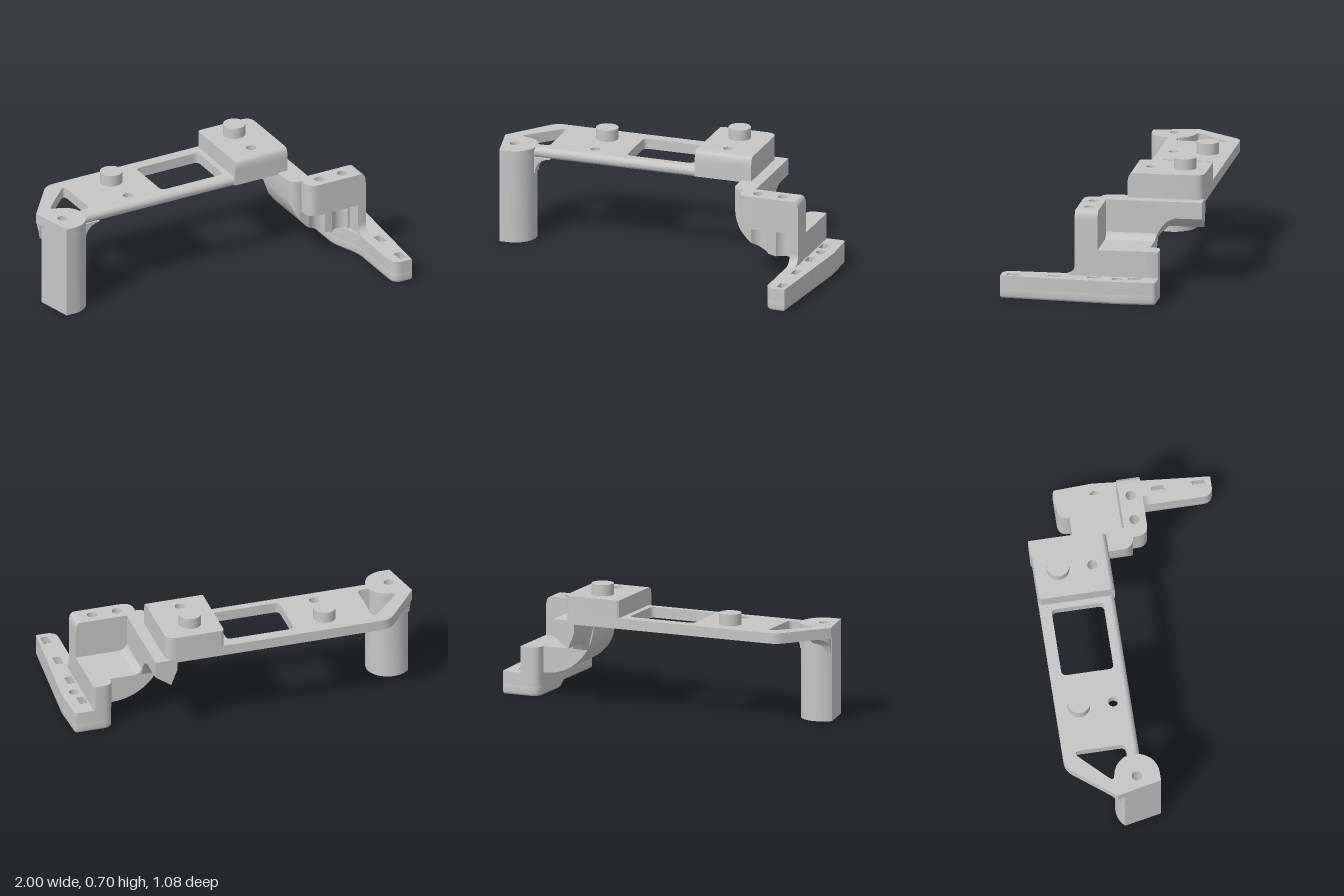
import * as THREE from 'three';
import { toCreasedNormals } from 'three/addons/utils/BufferGeometryUtils.js';

const grey = new THREE.MeshStandardMaterial({ color: 0xc6c6c6 });
grey.name = 'grey plastic';

// Closed outline from [x, y, cornerRadius] points
function outline(pts, Type = THREE.Shape) {
  const s = new Type();
  const n = pts.length;
  pts.forEach(([x, y, r = 0], i) => {
    const p = new THREE.Vector2(x, y);
    const step = (q) => {
      const d = new THREE.Vector2(q[0], q[1]).sub(p);
      return p.clone().add(d.setLength(Math.min(r, d.length() / 2)));
    };
    const a = r ? step(pts[(i + n - 1) % n]) : p;
    if (i === 0) s.moveTo(a.x, a.y); else s.lineTo(a.x, a.y);
    if (r) {
      const b = step(pts[(i + 1) % n]);
      s.quadraticCurveTo(x, y, b.x, b.y);
    }
  });
  s.closePath();
  return s;
}

const arc = (cx, cy, r, a0, a1, n = 8) => Array.from({ length: n + 1 }, (_, i) => {
  const a = (a0 + (a1 - a0) * i / n) * Math.PI / 180;
  return [cx + r * Math.cos(a), cy + r * Math.sin(a)];
});
const round = (x, z, r = 0.028) => arc(x, z, r, 0, 345, 23);
const rect = (x0, x1, z0, z1, r) => [[x0, z0, r], [x1, z0, r], [x1, z1, r], [x0, z1, r]];
const flip = (pts) => pts.map(([x, z, r]) => [x, -z, r]);

// Sections joined into a solid; rings run counter-clockwise about the axis
function loft(rings) {
  const pos = [];
  const n = rings[0].length;
  const tri = (...v) => v.forEach((p) => pos.push(...p));
  for (let k = 0; k + 1 < rings.length; k++) {
    const a = rings[k], b = rings[k + 1];
    for (let i = 0; i < n; i++) {
      const j = (i + 1) % n;
      tri(a[i], a[j], b[j]);
      tri(a[i], b[j], b[i]);
    }
  }
  const first = rings[0], last = rings[rings.length - 1];
  for (let i = 1; i + 1 < n; i++) {
    tri(first[0], first[i + 1], first[i]);
    tri(last[0], last[i], last[i + 1]);
  }
  const g = new THREE.BufferGeometry();
  g.setAttribute('position', new THREE.Float32BufferAttribute(pos, 3));
  return g;
}

export function createModel() {
  const model = new THREE.Group();
  model.name = 'mountingBracket';
  const add = (name, g) => {
    const m = new THREE.Mesh(toCreasedNormals(g, 0.6), grey);
    m.name = name;
    model.add(m);
  };
  // Plan (x, z) outline raised from y0 to y1; holes wind against the outline
  const plan = (name, pts, y0, y1, holes = [], bevel = 0) => {
    const s = outline(flip(pts));
    s.holes = holes.map((h) => outline(flip(h).reverse(), THREE.Path));
    const g = new THREE.ExtrudeGeometry(s, {
      depth: y1 - y0 - 2 * bevel, curveSegments: 8, bevelEnabled: bevel > 0,
      bevelSize: bevel, bevelThickness: bevel, bevelOffset: -bevel, bevelSegments: 3,
    });
    add(name, g.rotateX(-Math.PI / 2).translate(0, y0 + bevel, 0));
  };
  // Front (x, y) outline extruded from z0 to z1
  const front = (name, pts, z0, z1) => add(name, new THREE.ExtrudeGeometry(outline(pts),
    { depth: z1 - z0, bevelEnabled: false, curveSegments: 8 }).translate(0, 0, z0));
  // Side (z, y) outline extruded from x0 to x1
  const side = (name, pts, x0, x1) => add(name, new THREE.ExtrudeGeometry(outline(pts),
    { depth: x1 - x0, bevelEnabled: false, curveSegments: 8 }).rotateY(-Math.PI / 2).translate(x1, 0, 0));

  // Long top plate with its windows and screw holes
  const postHole = round(-0.9, -0.15);
  plan('topPlate', [
    [-1, -0.27], [-0.79, -0.54, 0.05], [0.51, -0.54, 0.05], [0.51, -0.145], [-0.77, -0.145],
    ...arc(-0.895, -0.145, 0.125, 5, 90), [-0.945, -0.02],
  ], 0.48, 0.54, [
    rect(-0.25, 0.145, -0.475, -0.18, 0.03),
    [[-0.705, -0.49, 0.055], [-0.705, -0.185, 0.03], [-0.775, -0.185],
      ...arc(-0.895, -0.145, 0.13, -25, -75), [-0.91, -0.282, 0.035]],
    round(-0.445, -0.215), round(0.34, -0.215), postHole,
  ]);
  add('plateFrontEdge', new THREE.CylinderGeometry(0.03, 0.03, 1.3, 20)
    .rotateZ(Math.PI / 2).translate(-0.14, 0.51, -0.145));

  // Support post, round with one flat side, and its fillets under the plate
  plan('post', [[-0.945, -0.02], ...arc(-0.895, -0.145, 0.125, 90, -138, 22)], 0, 0.482, [postHole]);
  front('postFillet', [[-0.79, 0.485], [-0.79, 0.39], ...arc(-0.68, 0.39, 0.09, 180, 90), [-0.68, 0.485]],
    -0.184, -0.117);
  add('strutFillet', loft(Array.from({ length: 11 }, (_, i) => {
    const s = i / 10;
    const z = -0.35 + 0.1 * s;
    const y = 0.39 + 0.09 * Math.sqrt(1 - s * s);
    const x0 = Math.max(-0.99, -1 + (-0.27 - z) * 0.78 + 0.004);
    const x1 = -0.845 - 0.055 * s;
    return [[x0, y, z], [x1, y, z], [x1, 0.485, z], [x0, 0.485, z]];
  })));

  // Raised pad and locating pegs
  plan('padRear', [[0.18, -0.54, 0.02], [0.515, -0.54, 0.06], [0.515, -0.17], [0.18, -0.17]],
    0.5, 0.64, [round(0.34, -0.215)]);
  side('padFront', [[-0.17, 0.49], [-0.11, 0.49], [-0.11, 0.64, 0.06], [-0.17, 0.64]], 0.18, 0.515);
  for (const [x, top] of [[-0.445, 0.605], [0.34, 0.703]]) {
    add('peg', new THREE.CylinderGeometry(0.063, 0.063, 0.12, 32).translate(x, top - 0.06, -0.408));
  }

  // Rib along the plate end, arched up behind the swoop
  const rib = [[-0.54, 0.34, 0.405], [-0.39, 0.34, 0.405], [-0.36, 0.34, 0.395],
    [-0.34, 0.34, 0.382], [-0.31, 0.31, 0.35], [-0.29, 0.29, 0.315], [-0.28, 0.28, 0.28]];
  add('endRib', loft(rib.map(([z, inner, outer]) => [
    [0.455, 0.43, z], [0.49, inner, z], [0.582, outer, z], [0.582, 0.5, z], [0.455, 0.5, z],
  ])));

  // Swooping arm: quarter-round underside, front scalloped around two screw paths
  const under = (x) => x > 0.755 ? 0.13 : 0.43 - Math.sqrt(Math.max(0, 0.09 - (0.755 - x) ** 2));
  const armFace = (x) => {
    if (x < 0.515) return -0.02 + Math.sqrt(Math.max(0, 0.0036 - (0.515 - x) ** 2));
    let z = 0.04;
    for (const c of [0.62, 0.765]) {
      const d = 0.055 ** 2 - (x - c) ** 2;
      if (d > 0) z = Math.min(z, 0.065 - Math.sqrt(d));
    }
    return z;
  };
  const swoop = (name, x0, x1, n, top, back, face) => add(name, loft(
    Array.from({ length: n + 1 }, (_, i) => {
      const x = x0 + (x1 - x0) * i / n;
      const b = under(x), t = top(x), f = face(x);
      return [[x, b, back], [x, t, back], [x, t, f], [x, b, f]];
    })));
  swoop('armUpper', 0.455, 0.582, 30, () => 0.5, -0.28, armFace);
  swoop('armLower', 0.582, 0.88, 36,
    (x) => x < 0.63 ? 0.33 - Math.sqrt(Math.max(0, 0.0025 - (0.63 - x) ** 2)) : 0.28, -0.28, () => 0);
  swoop('armFront', 0.582, 0.85, 60, () => 0.44, 0, armFace);

  // Screw block and the fin that carries it down to the foot
  plan('screwBlock', [[0.52, 0], [0.82, 0], [0.82, 0.13], [0.52, 0.13, 0.065]], 0.31, 0.5,
    [round(0.62, 0.065), round(0.765, 0.065)]);
  front('fin', [[0.82, 0.5], [0.88, 0.5, 0.06], [0.88, 0.1], [0.83, 0.1], [0.83, 0.31], [0.82, 0.31]], 0, 0.13);
  side('finFillet', [[0.12, 0.12], [0.19, 0.12], ...arc(0.19, 0.19, 0.06, 270, 180), [0.12, 0.19]], 0.83, 0.88);
  plan('footRiser', [[0.765, -0.2], [0.765, -0.343, 0.06], [0.88, -0.343, 0.012], [0.88, -0.2]], 0.12, 0.28);

  // Tapered foot with blind slots and one through hole
  const foot = [[0.765, -0.343, 0.06], [0.99, -0.343, 0.02], [1, -0.12], [0.945, 0.54],
    [0.83, 0.54, 0.06], [0.83, 0.13, 0.05], [0.765, -0.05, 0.05]];
  const footHole = round(0.927, -0.115);
  plan('footBase', foot, 0, 0.07, [footHole], 0.014);
  plan('footTop', foot, 0.056, 0.13, [footHole,
    ...[-0.215, 0.015, 0.24, 0.47].map((z) => rect(0.887, 0.932, z - 0.037, z + 0.037, 0.008))]);

  return model;
}
